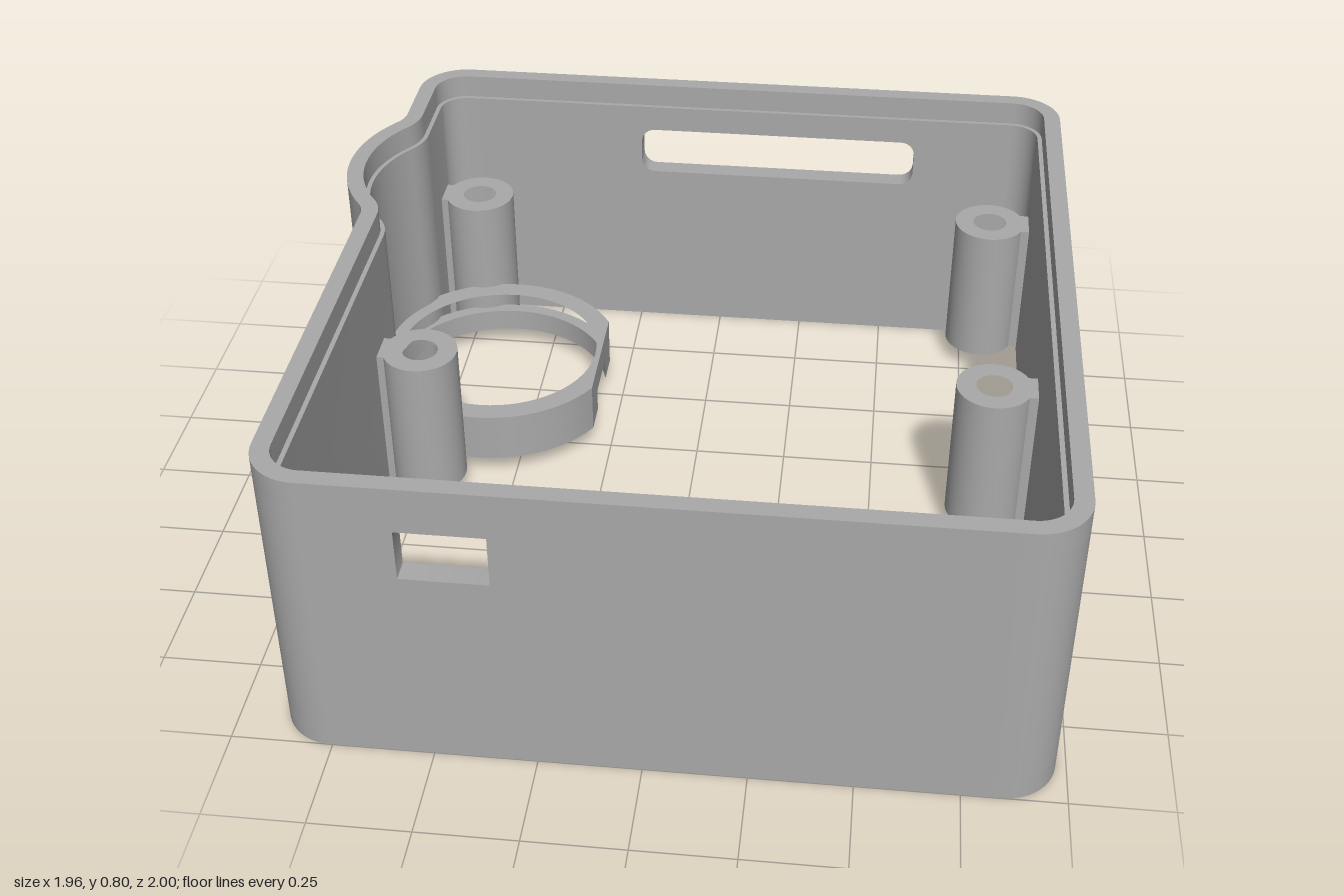
import * as THREE from 'three';
import { toCreasedNormals } from 'three/addons/utils/BufferGeometryUtils.js';

const grey = new THREE.MeshStandardMaterial({ color: 0xa9a9a9 });
grey.name = 'plain grey';

// points of an arc in the x/z plane, angles in radians
function arc(cx, cz, r, a0, a1, n = 12) {
  return Array.from({ length: n + 1 }, (_, i) => {
    const a = a0 + (a1 - a0) * i / n;
    return new THREE.Vector2(cx + r * Math.cos(a), cz + r * Math.sin(a));
  });
}

// upright prism from an x/z outline, between heights y0 and y1
function prism(points, y0, y1, holes = []) {
  const flip = (pts) => pts.map((p) => new THREE.Vector2(p.x, -p.y));
  const shape = new THREE.Shape(flip(points));
  for (const h of holes) shape.holes.push(new THREE.Path(flip(h)));
  const g = new THREE.ExtrudeGeometry(shape, { depth: y1 - y0, bevelEnabled: false });
  g.rotateX(-Math.PI / 2).translate(0, y0, 0);
  return toCreasedNormals(g, 0.5);
}

// rounded rectangle path in the x/y plane
function slot(x0, x1, y0, y1, r) {
  const P = Math.PI;
  return new THREE.Path([
    ...arc(x1 - r, y1 - r, r, 0, P / 2, 6), ...arc(x0 + r, y1 - r, r, P / 2, P, 6),
    ...arc(x0 + r, y0 + r, r, P, 1.5 * P, 6), ...arc(x1 - r, y0 + r, r, 1.5 * P, 2 * P, 6),
  ]);
}

const X0 = -0.7, X1 = 0.8;          // ends of the straight front and back panels
const RING = { x: -0.6, z: -0.42 }; // centre of the round holder and the bulge

// wall outlines inset by d; the right-hand one (-x) has the filleted bulge
function bulgeSide(d) {
  const P = Math.PI, f = 0.08, dx = 0.285 + f;
  const dz = Math.sqrt((0.38 + f) ** 2 - dx * dx), t = Math.atan2(dz, dx);
  return [
    new THREE.Vector2(X0, -1 + d),
    ...arc(-0.755, -0.87, 0.13 - d, -P / 2, -P),
    ...arc(RING.x - dx, RING.z - dz, f + d, 0, t, 6),
    ...arc(RING.x, RING.z, 0.38 - d, P + t, P - t, 20).slice(1, -1),
    ...arc(RING.x - dx, RING.z + dz, f + d, -t, 0, 6),
    ...arc(-0.755, 0.87, 0.13 - d, P, P / 2),
    new THREE.Vector2(X0, 1 - d),
  ];
}
function plainSide(d) {
  const P = Math.PI;
  return [
    new THREE.Vector2(X1, 1 - d),
    ...arc(0.845, 0.87, 0.13 - d, P / 2, 0),
    ...arc(0.845, -0.87, 0.13 - d, 0, -P / 2),
    new THREE.Vector2(X1, -1 + d),
  ];
}

export function createModel() {
  const model = new THREE.Group();
  const add = (name, geometry, parent = model) => {
    const mesh = new THREE.Mesh(geometry, grey);
    mesh.name = name;
    parent.add(mesh);
    return mesh;
  };

  // flat wall panel with an optional opening
  const panel = (y0, y1, t, z, hole) => {
    const s = new THREE.Shape([[X0, y0], [X1, y0], [X1, y1], [X0, y1]].map((p) => new THREE.Vector2(...p)));
    if (hole) s.holes.push(hole);
    const g = new THREE.ExtrudeGeometry(s, { depth: t, bevelEnabled: false, curveSegments: 6 });
    return toCreasedNormals(g.translate(0, 0, z), 0.5);
  };

  // walls: thin lips below and above a thicker middle
  const layers = [['lowerLip', 0, 0.06, 0.045], ['wall', 0.06, 0.735, 0.057], ['upperLip', 0.735, 0.8, 0.045]];
  for (const [name, y0, y1, t] of layers) {
    const group = new THREE.Group();
    group.name = name;
    model.add(group);
    const mid = name === 'wall';
    add(name + 'BulgeSide', prism([...bulgeSide(0), ...bulgeSide(t).reverse()], y0, y1), group);
    add(name + 'PlainSide', prism([...plainSide(0), ...plainSide(t).reverse()], y0, y1), group);
    add(name + 'Front', panel(y0, y1, t, 1 - t, mid && slot(-0.545, -0.335, 0.545, 0.68, 0.002)), group);
    add(name + 'Back', panel(y0, y1, t, -1, mid && slot(-0.24, 0.57, 0.52, 0.66, 0.04)), group);
  }

  // screw posts with a short web to the nearest wall
  for (const x of [-0.72, 0.805]) {
    for (const z of [-0.835, 0, 0.79]) {
      const group = new THREE.Group();
      group.name = 'screwPost';
      group.position.set(x, 0, z);
      model.add(group);
      const turn = 2 * Math.PI;
      add('post', prism(arc(0, 0, 0.1, 0, turn, 40).slice(1), 0.065, 0.47, [arc(0, 0, 0.048, 0, turn, 32).slice(1)]), group);
      const web = add('web', new THREE.BoxGeometry(0.045, 0.405, 0.09), group);
      web.position.set(Math.sign(x) * 0.1025, 0.2675, 0);
    }
  }

  // round holder with one flat side; the wider seat below opens through the flat
  const holder = new THREE.Group();
  holder.name = 'roundHolder';
  holder.position.set(RING.x, 0, RING.z);
  model.add(holder);
  const cut = (r) => arc(0, 0, r, Math.acos(0.3 / r), 2 * Math.PI - Math.acos(0.3 / r), 56);
  add('holderRing', prism(cut(0.345), 0.125, 0.2, [arc(0, 0, 0.285, 0, 2 * Math.PI, 64).slice(1)]), holder);
  add('holderSeat', prism([...cut(0.345), ...cut(0.31).reverse()], 0.06, 0.125), holder);

  return model;
}
